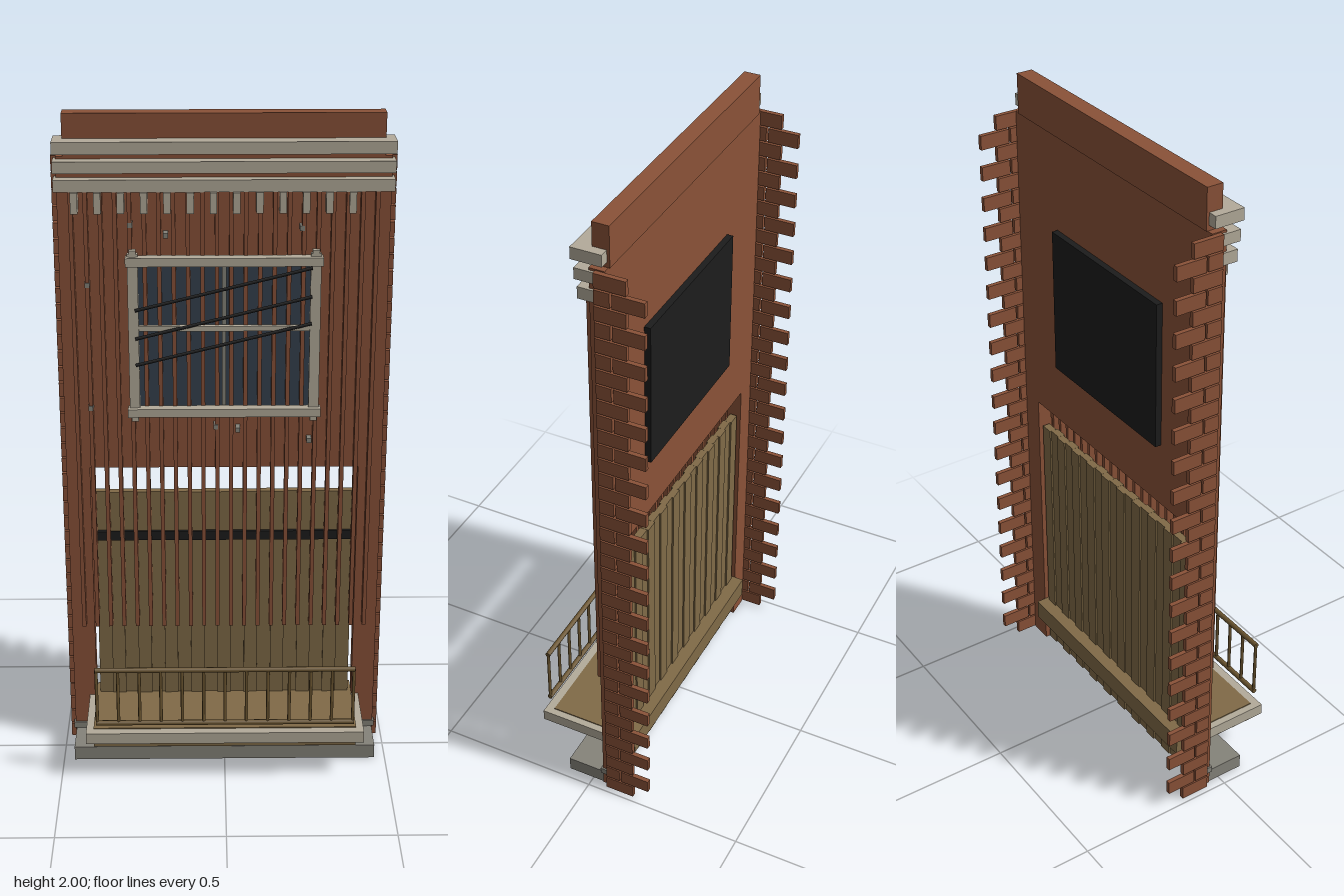
import * as THREE from 'three';

const mat = (name, color) => {
  const m = new THREE.MeshStandardMaterial({ color });
  m.name = name;
  return m;
};

export function createModel() {
  const brick = mat('brick red', 0x8a5238);
  const stone = mat('pale stone', 0xb3ab9a);
  const grey = mat('step grey', 0x85837a);
  const wood = mat('olive wood', 0x806a47);
  const brass = mat('rail brown', 0x6b5530);
  const glass = mat('slate glass', 0x36424e);
  const black = mat('black', 0x1c1c1c);

  const model = new THREE.Group();
  const group = (name) => {
    const g = new THREE.Group();
    g.name = name;
    model.add(g);
    return g;
  };
  // Box given by its extents on each axis
  const box = (parent, name, m, x0, x1, y0, y1, z0, z1) => {
    const mesh = new THREE.Mesh(new THREE.BoxGeometry(x1 - x0, y1 - y0, z1 - z0), m);
    mesh.position.set((x0 + x1) / 2, (y0 + y1) / 2, (z0 + z1) / 2);
    mesh.name = name;
    parent.add(mesh);
    return mesh;
  };
  // Round bar between two points
  const bar = (parent, name, m, a, b, r) => {
    const p = new THREE.Vector3(...a), q = new THREE.Vector3(...b);
    const d = q.clone().sub(p);
    const mesh = new THREE.Mesh(new THREE.CylinderGeometry(r, r, d.length(), 8), m);
    mesh.position.copy(p).add(q).multiplyScalar(0.5);
    mesh.quaternion.setFromUnitVectors(new THREE.Vector3(0, 1, 0), d.normalize());
    mesh.name = name;
    parent.add(mesh);
  };

  // Wall with a doorway cut up from the ground
  const outline = new THREE.Shape([
    [-0.47, 0], [-0.4, 0], [-0.4, 0.94], [0.4, 0.94], [0.4, 0],
    [0.47, 0], [0.47, 1.88], [-0.47, 1.88],
  ].map(([x, y]) => new THREE.Vector2(x, y)));
  const wall = new THREE.Mesh(
    new THREE.ExtrudeGeometry(outline, { depth: 0.045, bevelEnabled: false }), brick);
  wall.position.z = -0.081;
  wall.name = 'wall';
  model.add(wall);
  box(model, 'parapet', brick, -0.45, 0.45, 1.88, 2, -0.085, -0.036);

  // Toothed brick returns along both edges
  const returns = group('brickReturns');
  const pitch = 0.0482;
  for (const s of [-1, 1]) {
    for (let i = 0; i < 39; i++) {
      const y = i * pitch + 0.003;
      const spans = i % 2 ? [[-0.1, -0.055], [-0.198, -0.106]] : [[-0.146, -0.055]];
      for (const [z0, z1] of spans) {
        box(returns, 'returnBrick', brick, s * 0.478 - 0.007, s * 0.478 + 0.007, y, y + 0.043, z0, z1);
      }
    }
  }

  // Cornice bands and dentils
  const cornice = group('cornice');
  box(cornice, 'topBand', stone, -0.477, 0.477, 1.895, 1.93, -0.077, 0.012);
  box(cornice, 'middleBand', stone, -0.477, 0.477, 1.84, 1.873, -0.055, 0.003);
  box(cornice, 'lowerBand', stone, -0.477, 0.477, 1.785, 1.82, -0.055, -0.005);
  for (let i = 0; i < 13; i++) {
    const x = -0.42 + i * 0.065;
    box(cornice, 'dentil', stone, x - 0.01, x + 0.01, 1.725, 1.785, -0.04, 0.002);
  }

  // Deep vertical slats
  const slats = group('slats');
  const step = 0.041;
  for (let i = 0; i < 22; i++) {
    const x = (i - 10.5) * step;
    box(slats, 'slat', brick, x - 0.006, x + 0.006, 0.42, 1.785, -0.037, -0.008);
  }

  // Window: glass behind the slats, frame and slanted bars in front
  const win = group('window');
  box(win, 'glass', glass, -0.25, 0.25, 1.13, 1.585, -0.037, -0.031);
  box(win, 'mullion', grey, -0.006, 0.006, 1.14, 1.58, -0.032, -0.026);
  box(win, 'backPanel', black, -0.26, 0.26, 1.14, 1.59, -0.1, -0.08);
  for (const s of [-1, 1]) {
    const x = s * 0.26;
    box(win, 'frameSide', stone, x - 0.015, x + 0.015, 1.12, 1.61, -0.012, 0.006);
    for (const y of [1.105, 1.6]) box(win, 'frameCorner', stone, x - 0.01, x + 0.01, y, y + 0.02, -0.012, 0.008);
  }
  box(win, 'frameTop', stone, -0.28, 0.28, 1.577, 1.602, -0.012, 0.022);
  box(win, 'frameBottom', stone, -0.28, 0.28, 1.122, 1.147, -0.012, 0.022);
  box(win, 'frameMiddle', stone, -0.245, 0.245, 1.38, 1.395, -0.012, 0.004);
  for (const y of [1.28, 1.36, 1.445]) {
    bar(win, 'slantedBar', black, [-0.255, y, 0.012], [0.25, y + 0.125, 0.012], 0.005);
  }

  // Small bolts scattered over the wall
  const bolts = group('bolts');
  for (const [x, y] of [[-0.39, 1.14], [-0.39, 1.515], [-0.265, 1.69], [-0.165, 1.66],
    [0.22, 1.68], [-0.025, 1.08], [0.04, 1.07], [0.25, 1.035]]) {
    box(bolts, 'bolt', grey, x - 0.007, x + 0.007, y - 0.007, y + 0.007, -0.037, -0.006);
  }

  // Plank door with a black band
  const door = group('door');
  for (let i = 0; i < 19; i++) {
    const x = (i - 9) * step;
    const z = i % 2 ? 0.005 : 0;
    box(door, 'plank', wood, x - 0.0204, x + 0.0204, 0.01, 0.855, -0.073 + z, -0.05 + z);
  }
  box(door, 'band', black, -0.39, 0.39, 0.698, 0.727, -0.05, -0.039);

  // Balcony deck passing through the doorway, with a pale rim
  const balcony = group('balcony');
  box(balcony, 'deck', wood, -0.4, 0.4, 0.1, 0.165, -0.11, 0.17);
  box(balcony, 'rimFront', stone, -0.422, 0.422, 0.126, 0.162, 0.17, 0.197);
  for (const s of [-1, 1]) {
    box(balcony, 'rimSide', stone, s * 0.411 - 0.011, s * 0.411 + 0.011, 0.126, 0.162, -0.038, 0.17);
  }

  // Railing
  const railing = group('railing');
  for (const y of [0.197, 0.378]) {
    bar(railing, 'rail', brass, [-0.39, y, 0.191], [0.39, y, 0.191], 0.008);
  }
  for (let i = 0; i < 13; i++) {
    const x = -0.386 + i * 0.772 / 12;
    bar(railing, 'baluster', brass, [x, 0.197, 0.191], [x, 0.378, 0.191], 0.005);
  }

  // Step at the foot
  box(model, 'step', grey, -0.467, 0.467, 0, 0.045, -0.037, 0.083);
  box(model, 'plinth', grey, -0.475, 0.475, 0.045, 0.065, -0.05, -0.03);
  return model;
}
